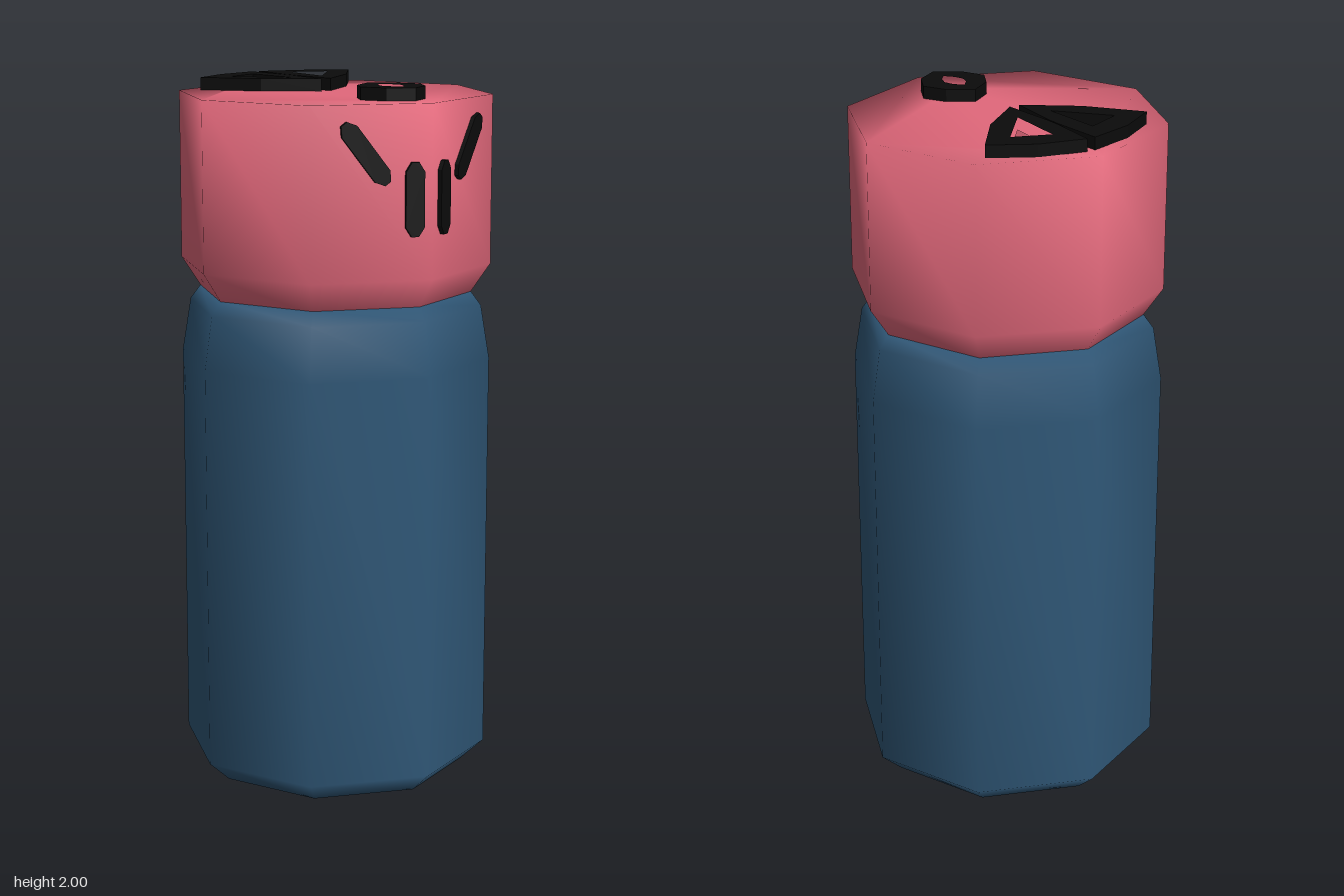
import * as THREE from 'three';
import { mergeGeometries, mergeVertices } from 'three/addons/utils/BufferGeometryUtils.js';

const CAP_TOP = 1.965;
const RADIUS = 0.445;
const SIDES = 8;

// Plan outlines as [x, z]
const VENT = [[0.012, -0.39], [0.145, -0.355], [0.262, -0.285], [0.15, -0.145], [0.015, -0.04], [0.002, -0.2], [0.002, -0.24]];
const VENT_HOLE = [[0.065, -0.308], [0.169, -0.265], [0.054, -0.133]];
const SPOUT = [[0, 0.15], [0.067, 0.195], [0.102, 0.257], [0.067, 0.325], [0, 0.367], [-0.067, 0.325], [-0.102, 0.257], [-0.067, 0.195]];
const SPOUT_HOLE = [[0, 0.205], [0.022, 0.23], [0.031, 0.258], [0.022, 0.286], [0, 0.312], [-0.022, 0.286], [-0.031, 0.258], [-0.022, 0.23]];

const mirrored = (pts, s) => pts.map(([x, z]) => [x * s, z]);
const toVectors = pts => pts.map(([x, z]) => new THREE.Vector2(x, -z));

function planShape(outline, holes) {
  const shape = new THREE.Shape(toVectors(outline));
  holes.forEach(h => shape.holes.push(new THREE.Path(toVectors(h))));
  return shape;
}

// Weld coincident corners so the shading rolls smoothly over every edge
function smoothWeld(geometries) {
  const parts = geometries.map(g => {
    const p = g.index ? g.toNonIndexed() : g;
    p.deleteAttribute('normal');
    p.deleteAttribute('uv');
    return p;
  });
  const welded = mergeVertices(mergeGeometries(parts), 1e-4);
  welded.computeVertexNormals();
  return welded;
}

const lathe = profile => new THREE.LatheGeometry(profile.map(([r, y]) => new THREE.Vector2(r, y)), SIDES);

export function createModel() {
  const group = new THREE.Group();
  const material = (name, color, side = THREE.FrontSide) => {
    const m = new THREE.MeshStandardMaterial({ color, side });
    m.name = name;
    return m;
  };
  const blue = material('bottle blue', 0x305878);
  const pink = material('cap pink', 0xe2687b, THREE.DoubleSide);
  const black = material('trim black', 0x0b0b0b);

  const add = (name, geometry, mat, parent = group) => {
    const mesh = new THREE.Mesh(geometry, mat);
    mesh.name = name;
    parent.add(mesh);
    return mesh;
  };

  // Octagonal bottle with chamfered base and shoulder
  add('bottleBody', smoothWeld([lathe([
    [0, 0.005], [0.38, 0.005], [RADIUS, 0.065], [RADIUS, 1.22], [0.42, 1.37], [0.39, 1.41], [0, 1.41],
  ])]), blue);

  // Hollow cap: side wall plus a top pierced by the vents and the spout
  const octagon = Array.from({ length: SIDES }, (_, i) => {
    const a = (i / SIDES) * Math.PI * 2;
    return [RADIUS * Math.sin(a), RADIUS * Math.cos(a)];
  });
  const top = new THREE.ShapeGeometry(planShape(octagon, [VENT_HOLE, mirrored(VENT_HOLE, -1), SPOUT_HOLE]));
  top.rotateX(-Math.PI / 2).translate(0, CAP_TOP, 0);
  const wall = lathe([[0.385, 1.4], [RADIUS, 1.49], [RADIUS, CAP_TOP]]);
  add('cap', smoothWeld([wall, top]), pink);

  // Raised black frames around the openings
  const frame = (name, outline, hole) => {
    const g = new THREE.ExtrudeGeometry(planShape(outline, [hole]), { depth: 2 - CAP_TOP, bevelEnabled: false });
    g.rotateX(-Math.PI / 2).translate(0, CAP_TOP, 0);
    add(name, g, black);
  };
  frame('spoutFrame', SPOUT, SPOUT_HOLE);

  // Bar with pointed ends between two [x, y] points, laid on a front facet
  const facetAngle = Math.PI / SIDES;
  const facetDistance = RADIUS * Math.cos(facetAngle);
  const bar = (name, side, from, to) => {
    const onFacet = ([x, y]) => new THREE.Vector2(
      side * (x - facetDistance * Math.sin(facetAngle)) / Math.cos(facetAngle), y);
    const a = onFacet(from), b = onFacet(to);
    const length = a.distanceTo(b), w = 0.026, t = 0.025;
    const shape = new THREE.Shape([
      [0, 0.01], [t, w], [length - t, w], [length, 0.01],
      [length, -0.01], [length - t, -w], [t, -w], [0, -0.01],
    ].map(p => new THREE.Vector2(...p)));
    const g = new THREE.ExtrudeGeometry(shape, { depth: 0.022, bevelEnabled: false });
    g.rotateZ(Math.atan2(b.y - a.y, b.x - a.x));
    g.translate(a.x, a.y, facetDistance - 0.01);
    g.rotateY(side * facetAngle);
    add(name, g, black);
  };

  for (const [side, label] of [[1, 'left'], [-1, 'right']]) {
    frame(label + 'VentFrame', mirrored(VENT, side), mirrored(VENT_HOLE, side));
    bar(label + 'UprightBar', side, [0.048, 1.61], [0.048, 1.81]);
    bar(label + 'SlantedBar', side, [0.118, 1.755], [0.23, 1.915]);
  }

  return group;
}
